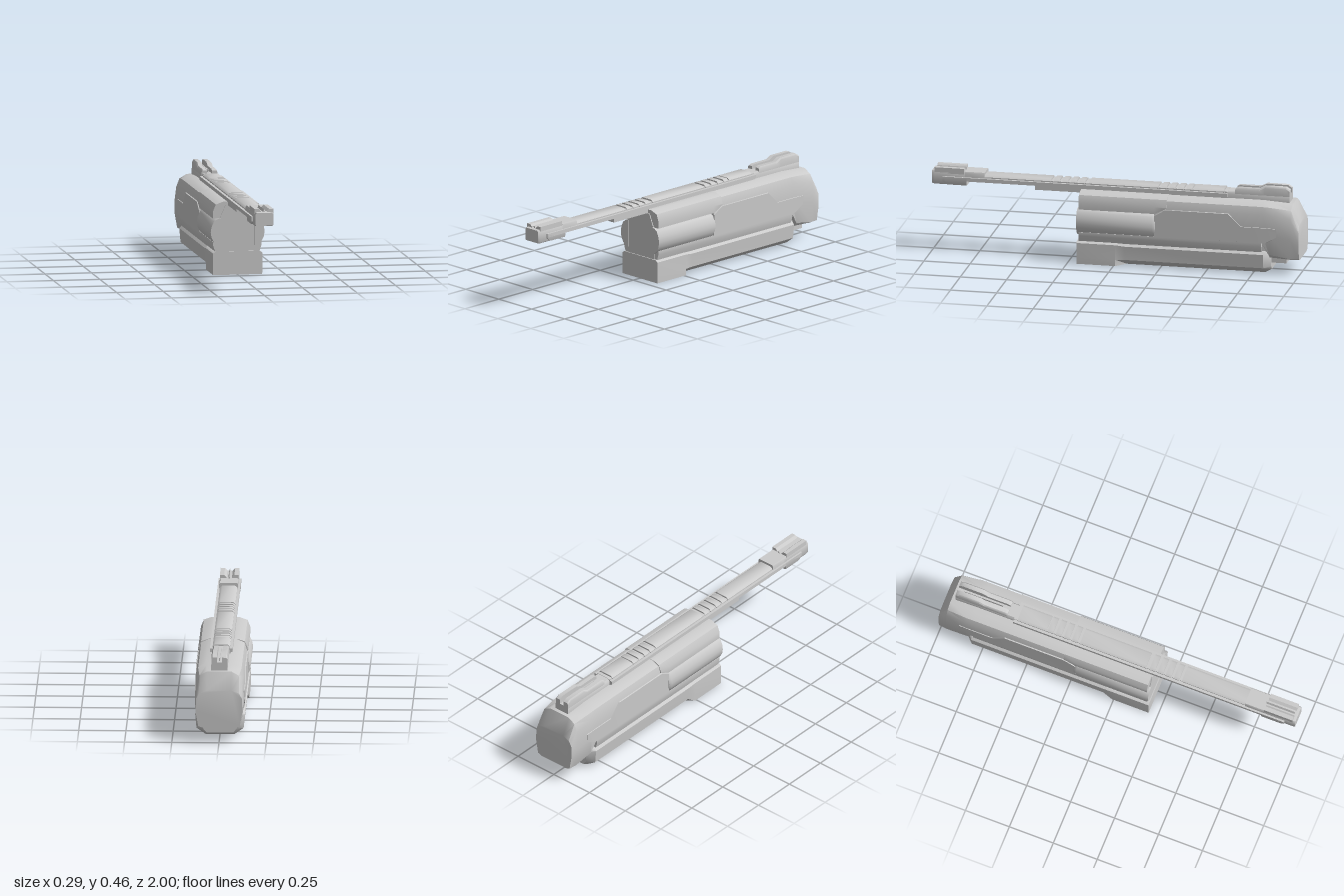
import * as THREE from 'three';
import { toCreasedNormals } from 'three/addons/utils/BufferGeometryUtils.js';

const material = new THREE.MeshStandardMaterial({ color: 0xcccccc });

// Joins closed outlines (anticlockwise from the front), listed front to back as [z, points].
function loft(sections, crease = 0.7) {
  const pos = [];
  const put = (s, i) => {
    const p = s[1][i % s[1].length];
    pos.push(p[0], p[1], p[2] === undefined ? s[0] : p[2]);
  };
  for (let k = 0; k < sections.length - 1; k++) {
    const a = sections[k], b = sections[k + 1];
    for (let i = 0; i < a[1].length; i++) {
      put(a, i); put(b, i); put(a, i + 1);
      put(a, i + 1); put(b, i); put(b, i + 1);
    }
  }
  const cap = (s, back) => {
    const contour = s[1].map(p => new THREE.Vector2(p[0], p[1]));
    for (const f of THREE.ShapeUtils.triangulateShape(contour, [])) {
      for (const i of back ? [f[0], f[2], f[1]] : f) put(s, i);
    }
  };
  cap(sections[0], false);
  cap(sections[sections.length - 1], true);
  const geo = new THREE.BufferGeometry();
  geo.setAttribute('position', new THREE.Float32BufferAttribute(pos, 3));
  return toCreasedNormals(geo, crease);
}

// Half outline, bottom to top on +x, completed by its mirror image.
const sym = half => [...half, ...half.map(([x, y]) => [-x, y]).reverse()];
const flip = pts => pts.map(([x, y]) => [-x, y]).reverse();

export function createModel() {
  const model = new THREE.Group();
  const add = (name, geo) => {
    const mesh = new THREE.Mesh(geo, material);
    mesh.name = name;
    model.add(mesh);
    return mesh;
  };
  const centred = (name, sections) => add(name, loft(sections.map(([z, h]) => [z, sym(h)])));
  const paired = (name, sections) => {
    add(name + 'Left', loft(sections));
    add(name + 'Right', loft(sections.map(([z, p]) => [z, flip(p)])));
  };
  const box = (name, w, y0, y1, z0, z1, x = 0) => {
    const mesh = add(name, new THREE.BoxGeometry(w, y1 - y0, Math.abs(z1 - z0)));
    mesh.position.set(x, (y0 + y1) / 2, (z0 + z1) / 2);
  };

  // Inner body between the side pods
  const core = [[0.105, 0.08], [0.105, 0.2], [0.1, 0.29], [0.065, 0.37]];
  centred('core', [[0.195, core], [-0.82, core]]);
  const strip = [[0.115, 0.11], [0.13, 0.155], [0.13, 0.175]];
  centred('waistStrip', [[0.19, strip], [-0.8, strip]]);

  // Upper hull: side panels step outwards and the tail is bevelled
  const shell = [[0.1, 0.17], [0.127, 0.175], [0.13, 0.24], [0.127, 0.33],
    [0.115, 0.37], [0.075, 0.388]];
  centred('upperHull', [
    [-0.22, shell], [-0.8, shell],
    [-0.84, [[0.1, 0.09], [0.12, 0.11], [0.13, 0.22], [0.128, 0.33], [0.115, 0.368], [0.07, 0.385]]],
    [-0.955, [[0.09, 0.08], [0.115, 0.09], [0.129, 0.2], [0.122, 0.31], [0.105, 0.355], [0.065, 0.378]]],
    [-1, [[0.085, 0.082], [0.11, 0.09], [0.124, 0.17], [0.122, 0.24], [0.105, 0.27], [0.065, 0.285]]],
  ]);
  paired('sidePanel', [
    [-0.22, [[0.1, 0.165], [0.132, 0.175], [0.133, 0.29], [0.1, 0.3]]],
    [-0.28, [[0.1, 0.165], [0.132, 0.175], [0.133, 0.325], [0.1, 0.335]]],
    [-0.62, [[0.1, 0.165], [0.132, 0.175], [0.133, 0.325], [0.1, 0.335]]],
    [-0.69, [[0.1, 0.165], [0.132, 0.175], [0.133, 0.258], [0.1, 0.268]]],
    [-0.82, [[0.1, 0.165], [0.132, 0.175], [0.133, 0.258], [0.1, 0.268]]],
    [-0.88, [[0.1, 0.2], [0.13, 0.21], [0.131, 0.255], [0.1, 0.265]]],
  ]);

  // Front pods: faceted shoulder above a bulging drum
  const shoulder = [[0.05, 0.3], [0.13, 0.3], [0.131, 0.338], [0.116, 0.376], [0.076, 0.39], [0.05, 0.39]];
  paired('shoulderPod', [[0.19, shoulder], [-0.22, shoulder],
    [-0.285, shoulder.map(([x, y]) => [x, Math.max(y, 0.332)])]]);
  const drum = [[0.09, 0.155], [0.108, 0.158], [0.128, 0.175], [0.141, 0.202], [0.145, 0.228],
    [0.141, 0.255], [0.128, 0.285], [0.108, 0.299], [0.09, 0.301]];
  paired('sideDrum', [[0.2, drum], [-0.21, drum],
    [-0.225, drum.map(([x, y]) => [x * 0.95, 0.228 + (y - 0.228) * 0.92])]]);

  // Lower hull with a broad front foot and chamfered keel
  const foot = [[0.132, 0], [0.133, 0.035], [0.133, 0.115], [0.118, 0.125]];
  const keel = [[0.075, 0], [0.125, 0.035], [0.132, 0.11], [0.115, 0.125]];
  centred('lowerHull', [[0.2, foot], [-0.01, foot], [-0.06, keel], [-0.81, keel],
    [-0.845, [[0.07, 0.018], [0.09, 0.04], [0.095, 0.1], [0.09, 0.12]]]]);
  box('tailKeel', 0.15, 0.055, 0.1, -0.8, -0.925);

  // Long rail with ledges, raised cover and grip ribs
  box('railLedge', 0.12, 0.395, 0.415, 0.93, -0.6);
  box('railSpine', 0.1, 0.37, 0.4, 0.44, -0.6);
  const cover = [[0.046, 0.4], [0.046, 0.421], [0.034, 0.431]];
  const low = cover.map(([x, y]) => [x * 0.95, Math.min(y, 0.421)]);
  low[2][1] = 0.423;
  centred('railBase', [[0.8, low], [-0.6, low]]);
  for (const [a, b] of [[0.8, 0.355], [0.15, -0.225], [-0.415, -0.58]]) {
    centred('railCover', [[a, cover], [b, cover]]);
  }
  for (const start of [0.34, -0.24]) {
    for (let i = 0; i < 4; i++) {
      const z = start - i * 0.046;
      centred('gripRib', [[z, cover], [z - 0.031, cover]]);
    }
  }

  // Muzzle block with side lugs and front sight
  const muzzle = [[0.046, 0.37], [0.05, 0.376], [0.05, 0.435], [0.044, 0.445]];
  centred('muzzle', [[1, muzzle.map(([x, y]) => [x * 0.96, 0.408 + (y - 0.408) * 0.92])],
    [0.985, muzzle], [0.81, muzzle]]);
  centred('sightBase', [[0.82, [[0.05, 0.4], [0.05, 0.437], [0.046, 0.445]]],
    [0.715, [[0.05, 0.4], [0.05, 0.437], [0.046, 0.445]]]]);
  const lug = [[0.04, 0.372], [0.056, 0.372], [0.06, 0.38], [0.06, 0.415], [0.04, 0.415]];
  paired('muzzleLug', [[0.94, lug.map(([x, y]) => [x, Math.max(y, 0.39)])], [0.915, lug], [0.81, lug]]);
  const ear = [[0.022, 0.44], [0.05, 0.43], [0.05, 0.461], [0.027, 0.461], [0.014, 0.448]];
  paired('frontSightEar', [[0.985, ear], [0.825, ear]]);
  add('frontSightBlade', loft([[0.98, [[-0.007, 0.44], [0.007, 0.44], [0, 0.459]]],
    [0.82, [[-0.007, 0.44], [0.007, 0.44], [0, 0.459]]]]));

  // Rear sight split by a central groove
  centred('rearSightBase', [[-0.585, [[0.043, 0.38], [0.043, 0.41], [0.036, 0.422]]],
    [-0.935, [[0.043, 0.375], [0.043, 0.41], [0.036, 0.422]]]]);
  const cheek = top => [[0.013, 0.41], [0.042, 0.41], [0.042, top - 0.008], [0.036, top], [0.013, top]];
  paired('rearSightCheek', [[-0.64, cheek(0.438)], [-0.655, cheek(0.445)], [-0.77, cheek(0.445)],
    [-0.8, cheek(0.461)], [-0.915, cheek(0.461)], [-0.935, cheek(0.448)]]);
  box('rearSightBlade', 0.006, 0.41, 0.438, -0.68, -0.9);

  return model;
}
